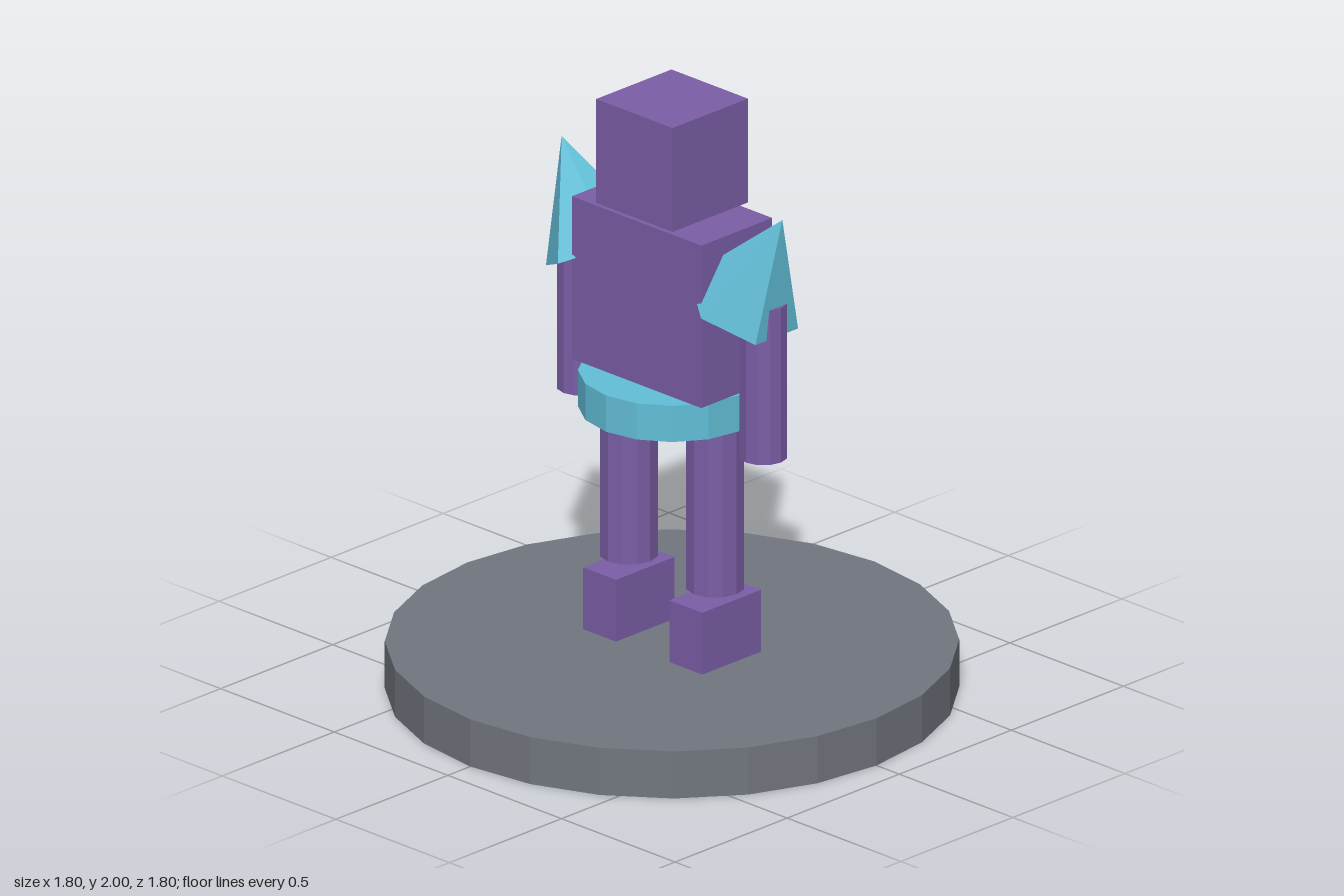
import * as THREE from 'three';

export function createModel() {
  const model = new THREE.Group();
  model.name = 'armouredFigure';

  const flat = (name, color) => {
    const m = new THREE.MeshStandardMaterial({ color, flatShading: true });
    m.name = name;
    return m;
  };
  const purple = flat('purple', 0x7b5ea7);
  const cyan = flat('cyan', 0x62bfd8);
  const grey = flat('grey', 0x71767e);

  const add = (name, geometry, material, x, y, z) => {
    const mesh = new THREE.Mesh(geometry, material);
    mesh.name = name;
    mesh.position.set(x, y, z);
    model.add(mesh);
    return mesh;
  };
  // Box and upright cylinder placed by their bottom and top heights
  const box = (name, mat, w, d, y0, y1, x = 0, z = 0) =>
    add(name, new THREE.BoxGeometry(w, y1 - y0, d), mat, x, (y0 + y1) / 2, z);
  const post = (name, mat, r, sides, y0, y1, x = 0) =>
    add(name, new THREE.CylinderGeometry(r, r, y1 - y0, sides), mat, x, (y0 + y1) / 2, 0);

  // Stand, belt, body and head
  post('base', grey, 0.9, 24, 0, 0.16);
  post('belt', cyan, 0.295, 16, 0.957, 1.08);
  box('torso', purple, 0.57, 0.316, 1.08, 1.632);
  box('head', purple, 0.336, 0.336, 1.647, 2);
  box('visor', cyan, 0.226, 0.03, 1.795, 1.855, 0, -0.175);

  // Limbs and shoulder spikes, mirrored
  const tilt = 0.48, spikeHeight = 0.37;
  for (const [side, s] of [['left', 1], ['right', -1]]) {
    post(side + 'Leg', purple, 0.094, 12, 0.4, 0.957, s * 0.19);
    box(side + 'Foot', purple, 0.145, 0.262, 0.16, 0.37, s * 0.19);
    post(side + 'Arm', purple, 0.077, 12, 0.905, 1.43, s * 0.402);

    // Six-sided spike leaning outward from the shoulder
    const spike = add(
      side + 'ShoulderSpike',
      new THREE.ConeGeometry(0.19, spikeHeight, 6),
      cyan,
      s * (0.315 + Math.sin(tilt) * spikeHeight / 2),
      1.403 + Math.cos(tilt) * spikeHeight / 2,
      0
    );
    spike.rotation.z = -s * tilt;
  }

  return model;
}
